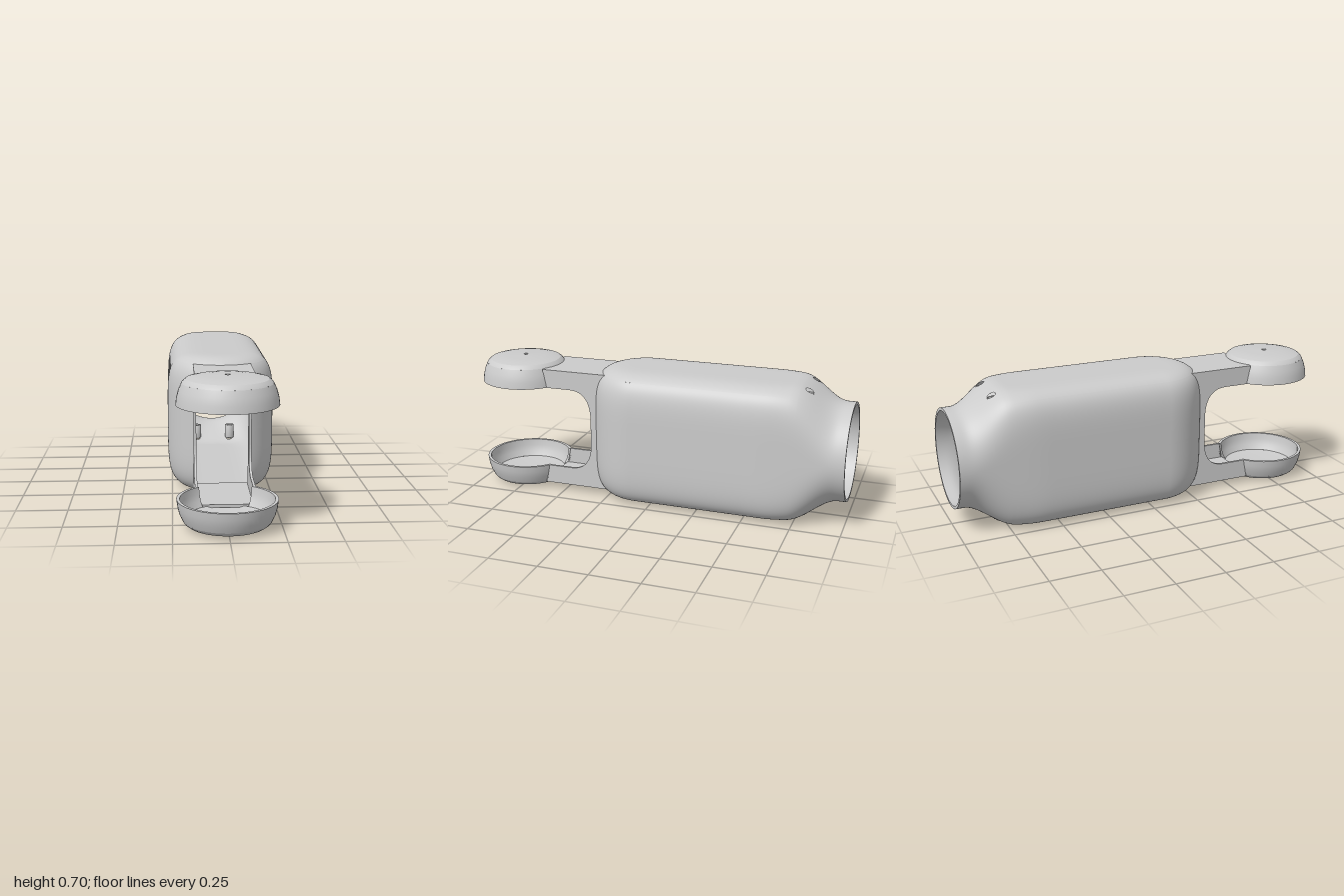
import * as THREE from 'three';

const material = new THREE.MeshStandardMaterial({ color: 0xcccccc, side: THREE.DoubleSide });
const MID = 0.35;        // height of the split line
const ARC_Z = 0.08;      // centre of the rounded front
const CUP_Z = 0.77;      // centre of the end cups
const HOLE = { x: 0.1, z: -0.79, r: 0.02 };
const WALL = 0.015;
const CAP_ANGLE = 0.749; // section angle where the cap meets the arm plate

function mesh(name, geometry, parent) {
  const m = new THREE.Mesh(geometry, material);
  m.name = name;
  parent.add(m);
  return m;
}

// Half-section of the body: a circle at the back end, a rounded box further on
function section(theta, z, inset) {
  const w = 0.25 + 0.02 * THREE.MathUtils.smoothstep(z, -0.97, -0.55) - inset;
  const h = 0.25 + 0.1 * THREE.MathUtils.smoothstep(z, -0.96, -0.72) - inset;
  const n = 2 + 3 * THREE.MathUtils.smoothstep(z, -0.95, -0.6);
  const s = Math.sin(theta), c = Math.max(0, Math.cos(theta));
  const k = Math.pow(Math.pow(s, n) + Math.pow(c, n), -1 / n);
  return [w * k * s, h * k * c];
}

// Stations along the body: straight run, then the turn around the front
function stations() {
  const list = [];
  const run = (from, to, count) => {
    for (let i = 0; i < count; i++) list.push({ z: from + (to - from) * i / count, u: 0 });
  };
  run(-1, -0.83, 12);
  run(-0.83, -0.75, 12);
  run(-0.75, -0.5, 14);
  run(-0.5, ARC_Z, 5);
  for (let i = 0; i <= 18; i++) list.push({ z: ARC_Z, u: i / 18 });
  return list;
}

// One strip of shell; the cap closes over the front, the side stops at the window
function shellStrip(side, inset, isCap) {
  const cols = stations(), rows = 32;
  const from = isCap ? 0 : CAP_ANGLE, to = isCap ? CAP_ANGLE : Math.PI / 2;
  const pos = [], inHole = [], index = [];
  for (let i = 0; i <= rows; i++) {
    const theta = from + (to - from) * i / rows;
    for (const { z: z0, u } of cols) {
      const [r, y] = section(theta, z0, inset);
      const a = u * (isCap ? Math.PI / 2 : Math.acos(0.135 / r || 0));
      let x = u ? r * Math.cos(a) : r;
      let z = z0 + (u ? r * Math.sin(a) : 0);
      // open a round screw hole by pushing points out to its edge
      const dx = x - HOLE.x, dz = z - HOLE.z, d = Math.hypot(dx, dz);
      const hit = isCap && d < HOLE.r;
      if (hit && d > 1e-6) {
        x = HOLE.x + dx * HOLE.r / d;
        z = HOLE.z + dz * HOLE.r / d;
      }
      inHole.push(hit);
      pos.push(side * x, y, z);
    }
  }
  const flip = (side < 0) !== (inset > 0);
  const n = cols.length;
  for (let i = 0; i < rows; i++) {
    for (let j = 0; j < n - 1; j++) {
      const a = i * n + j, b = a + 1, c = a + n, d = c + 1;
      if (inHole[a] && inHole[b] && inHole[c] && inHole[d]) continue;
      if (flip) index.push(a, c, b, b, c, d);
      else index.push(a, b, c, b, d, c);
    }
  }
  const g = new THREE.BufferGeometry();
  g.setAttribute('position', new THREE.Float32BufferAttribute(pos, 3));
  g.setIndex(index);
  g.computeVertexNormals();
  return g;
}

function lathe(points, start = 0, length = Math.PI * 2, segments = 48) {
  return new THREE.LatheGeometry(points.map(p => new THREE.Vector2(p[0], p[1])), segments, start, length);
}

// Hollow end cup, with its wall open towards the arm
function addCup(parent) {
  const cup = new THREE.Group();
  cup.name = 'endCup';
  cup.position.z = CUP_Z;
  parent.add(cup);
  const gap = 0.61;
  const start = Math.PI + gap, length = 2 * (Math.PI - gap);
  mesh('cupWall', lathe([[0.232, 0.217], [0.228, 0.25], [0.219, 0.284], [0.205, 0.315]], start, length), cup);
  mesh('cupInnerWall', lathe([[0.188, 0.308], [0.204, 0.28], [0.213, 0.25], [0.217, 0.217]], start, length), cup);
  mesh('cupLip', lathe([[0.217, 0.217], [0.232, 0.217]], start, length), cup);
  mesh('cupShoulder', lathe([[0.205, 0.315], [0.197, 0.325], [0.185, 0.334]]), cup);
  mesh('cupTop', lathe([[0.185, 0.334], [0.15, 0.342], [0.1, 0.347], [0.012, 0.35]]), cup);
  mesh('cupFloor', lathe([[0.012, 0.325], [0.17, 0.32], [0.188, 0.308], [0.205, 0.315]]), cup);
  mesh('cupPinhole', lathe([[0.012, 0.35], [0.012, 0.325]], 0, Math.PI * 2, 16), cup);
}

// Thin cheek on each side of the arm, with a curved inner corner
function armCheek(x) {
  const s = new THREE.Shape();
  s.moveTo(0.29, 0);
  s.lineTo(0.34, 0);
  s.lineTo(0.34, 0.08);
  s.bezierCurveTo(0.345, 0.18, 0.39, 0.217, 0.46, 0.217);
  s.lineTo(0.585, 0.217);
  s.lineTo(0.605, 0.315);
  s.lineTo(0.245, 0.315);
  s.lineTo(0.29, 0.15);
  const g = new THREE.ExtrudeGeometry(s, { depth: 0.013, bevelEnabled: false, curveSegments: 16 });
  g.rotateY(-Math.PI / 2);
  g.translate(x, 0, 0);
  return g;
}

function createHalf(name) {
  const half = new THREE.Group();
  half.name = name;
  for (const side of [1, -1]) {
    for (const isCap of [true, false]) {
      const part = isCap ? 'Cap' : 'Side';
      mesh('outer' + part, shellStrip(side, 0, isCap), half);
      mesh('inner' + part, shellStrip(side, WALL, isCap), half);
    }
    mesh('armCheek', armCheek(side > 0 ? 0.143 : -0.13), half);
    // screw boss below each hole
    const boss = mesh('screwBoss', lathe([[0.009, 0.25], [0.009, 0.23], [0.027, 0.23], [0.027, 0.305],
      [0.02, 0.313], [0.02, 0.25], [0.009, 0.25]], 0, Math.PI * 2, 20), half);
    boss.position.set(side * HOLE.x, 0, HOLE.z);
  }
  // arm plate joining the body to the cup
  const plate = mesh('armPlate', new THREE.BoxGeometry(0.286, 0.015, 0.365), half);
  plate.position.set(0, 0.3075, 0.4225);
  addCup(half);
  return half;
}

export function createModel() {
  const model = new THREE.Group();
  model.name = 'housing';
  const body = new THREE.Group();
  body.name = 'shell';
  body.position.y = MID;
  model.add(body);

  const lower = createHalf('lowerHalf');
  lower.rotation.z = Math.PI;
  body.add(createHalf('upperHalf'), lower);

  // rim of the round back opening
  const rim = mesh('backRim', new THREE.RingGeometry(0.25 - WALL, 0.25, 64), body);
  rim.rotation.y = Math.PI;
  rim.position.z = -1;
  return model;
}
